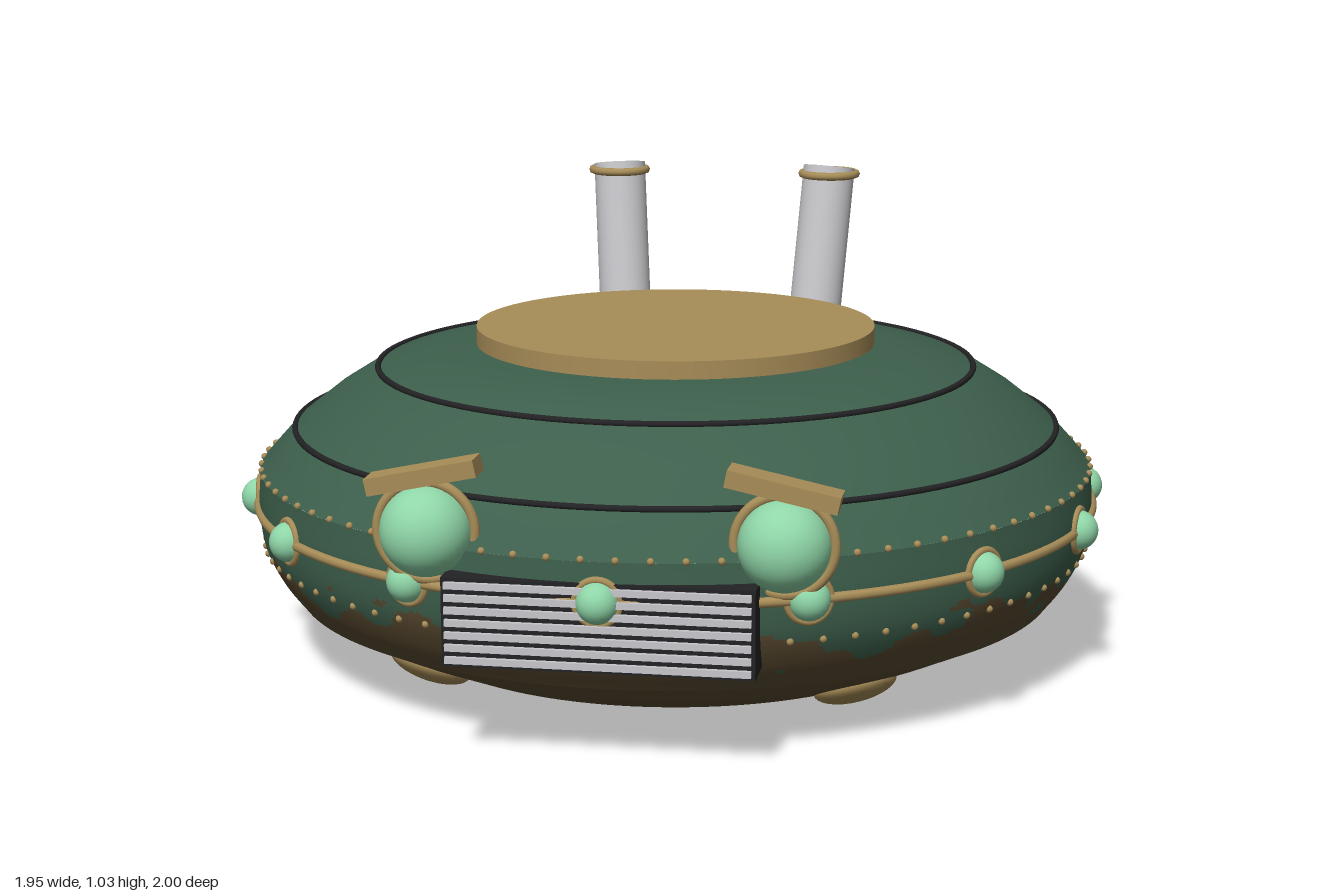
import * as THREE from 'three';
import { mergeGeometries } from 'three/addons/utils/BufferGeometryUtils.js';

const mat = (name, color) => {
  const m = new THREE.MeshStandardMaterial({ color });
  m.name = name;
  return m;
};

export function createModel() {
  const green = mat('hull green', 0x3d5f4c);
  const brown = mat('belly brown', 0x5a4a30);
  const gold = mat('brass', 0xa88d58);
  const glow = mat('pale green glass', 0x8fd6a8);
  const steel = mat('light steel', 0xc8c8cc);
  const dark = mat('dark trim', 0x232325);

  const model = new THREE.Group();
  const add = (name, geo, material, parent = model) => {
    const m = new THREE.Mesh(geo, material);
    m.name = name;
    parent.add(m);
    return m;
  };
  const lathe = (pts, segs = 96) =>
    new THREE.LatheGeometry(pts.map(p => new THREE.Vector2(p[0], p[1])), segs);
  const ring = (name, r, tube, y, material) => {
    const m = add(name, new THREE.TorusGeometry(r, tube, 8, 112), material);
    m.rotation.x = Math.PI / 2;
    m.position.y = y;
    return m;
  };

  // Upper hull and belly
  add('upperHull', lathe([[0.95, 0.435], [0.915, 0.475], [0.87, 0.525], [0.785, 0.592],
    [0.68, 0.658], [0.57, 0.685], [0.45, 0.708], [0, 0.708]]), green);
  add('belly', lathe([[0, 0.025], [0.4, 0.025], [0.61, 0.025], [0.74, 0.082], [0.87, 0.145]]), brown);

  // Belt: green above, brown below, with a ragged blotchy border
  const side = new THREE.CatmullRomCurve3([[0.87, 0.145], [0.915, 0.205], [0.945, 0.27],
    [0.955, 0.35], [0.95, 0.435]].map(p => new THREE.Vector3(p[0], p[1], 0)));
  const belt = lathe(side.getPoints(30).map(p => [p.x, p.y]), 320);
  const pos = belt.attributes.position, idx = belt.index.array;
  const faces = [[], []];
  for (let i = 0; i < idx.length; i += 3) {
    const tri = [idx[i], idx[i + 1], idx[i + 2]];
    let x = 0, y = 0, z = 0;
    for (const v of tri) { x += pos.getX(v) / 3; y += pos.getY(v) / 3; z += pos.getZ(v) / 3; }
    const a = Math.atan2(x, z);
    const n = Math.sin(a * 9 + Math.sin(y * 45) * 1.3) + 0.8 * Math.sin(a * 23 + y * 40 + 1)
      + 0.6 * Math.sin(a * 41 - y * 75 + 2);
    faces[y > 0.25 + 0.028 * n ? 0 : 1].push(...tri);
  }
  belt.setIndex([...faces[0], ...faces[1]]);
  belt.clearGroups();
  belt.addGroup(0, faces[0].length, 0);
  belt.addGroup(faces[0].length, faces[1].length, 1);
  add('belt', belt, [green, brown]);

  // Seams, waist band, bottom ring and top hatch
  ring('lowerSeam', 0.87, 0.007, 0.526, dark);
  ring('upperSeam', 0.68, 0.007, 0.659, dark);
  ring('waistBand', 0.956, 0.011, 0.352, gold);
  ring('bottomRing', 0.38, 0.018, 0.018, gold);
  add('topHatch', new THREE.CylinderGeometry(0.455, 0.455, 0.05, 80), gold).position.y = 0.722;

  // Rivet rows
  const rivets = [];
  for (const [y, r] of [[0.438, 0.948], [0.263, 0.943]]) {
    for (let i = 0; i < 84; i++) {
      const a = (i + 0.5) / 84 * Math.PI * 2;
      rivets.push(new THREE.SphereGeometry(0.008, 8, 6)
        .translate(r * Math.sin(a), y, r * Math.cos(a)));
    }
  }
  add('rivets', mergeGeometries(rivets), gold);

  // Waist lights with brass collars
  for (let i = 0; i < 14; i++) {
    const lamp = new THREE.Group();
    lamp.name = 'waistLight';
    lamp.rotation.y = i / 14 * Math.PI * 2;
    const at = new THREE.Vector3(0, 0.352, 0.955);
    add('lightGlobe', new THREE.SphereGeometry(0.044, 24, 16), glow, lamp).position.copy(at);
    add('lightCollar', new THREE.TorusGeometry(0.047, 0.008, 8, 28), gold, lamp).position.copy(at);
    model.add(lamp);
  }

  // Landing bumps under the belly
  for (let i = 0; i < 4; i++) {
    const pivot = new THREE.Group();
    pivot.name = 'landingBump';
    pivot.rotation.y = Math.PI / 4 + i * Math.PI / 2;
    const bump = add('bumpDome', new THREE.SphereGeometry(0.092, 28, 16), gold, pivot);
    bump.scale.y = 0.4;
    bump.position.set(0, 0.053, 0.665);
    bump.rotation.x = -0.42;
    model.add(pivot);
  }

  // Front grille
  const grille = new THREE.Group();
  grille.name = 'grille';
  model.add(grille);
  add('grilleBox', new THREE.BoxGeometry(0.64, 0.186, 0.11), dark, grille).position.set(0, 0.299, 0.905);
  for (let i = 0; i < 7; i++) {
    const slat = add('grilleSlat', new THREE.BoxGeometry(0.625, 0.014, 0.014), steel, grille);
    slat.position.set(0, 0.221 + i * 0.026, 0.963);
  }

  for (const s of [-1, 1]) {
    // Eye lamp with rim and sloping brow
    const eye = new THREE.Group();
    eye.name = s > 0 ? 'leftEye' : 'rightEye';
    eye.position.set(s * 0.367, 0.468, 0.885);
    add('eyeGlobe', new THREE.SphereGeometry(0.095, 36, 24), glow, eye);
    add('eyeRim', new THREE.TorusGeometry(0.102, 0.011, 10, 48), gold, eye);
    const brow = add('brow', new THREE.BoxGeometry(0.232, 0.036, 0.07), gold, eye);
    brow.position.set(0, 0.119, 0.012);
    brow.rotation.z = -s * 0.21;
    model.add(eye);

    // Leaning exhaust pipe
    const top = new THREE.Vector3(s * 0.267, 1.018, -0.742);
    const base = new THREE.Vector3(s * 0.236, 0.58, -0.664);
    const axis = top.clone().sub(base);
    const pipe = add('exhaustPipe', new THREE.CylinderGeometry(0.064, 0.064, axis.length(), 36), steel);
    pipe.position.copy(base).lerp(top, 0.5);
    pipe.quaternion.setFromUnitVectors(new THREE.Vector3(0, 1, 0), axis.normalize());
    const rim = ring('exhaustRim', 0.067, 0.01, 1.002, gold);
    rim.position.x = top.x;
    rim.position.z = top.z + 0.002;
  }
  return model;
}
